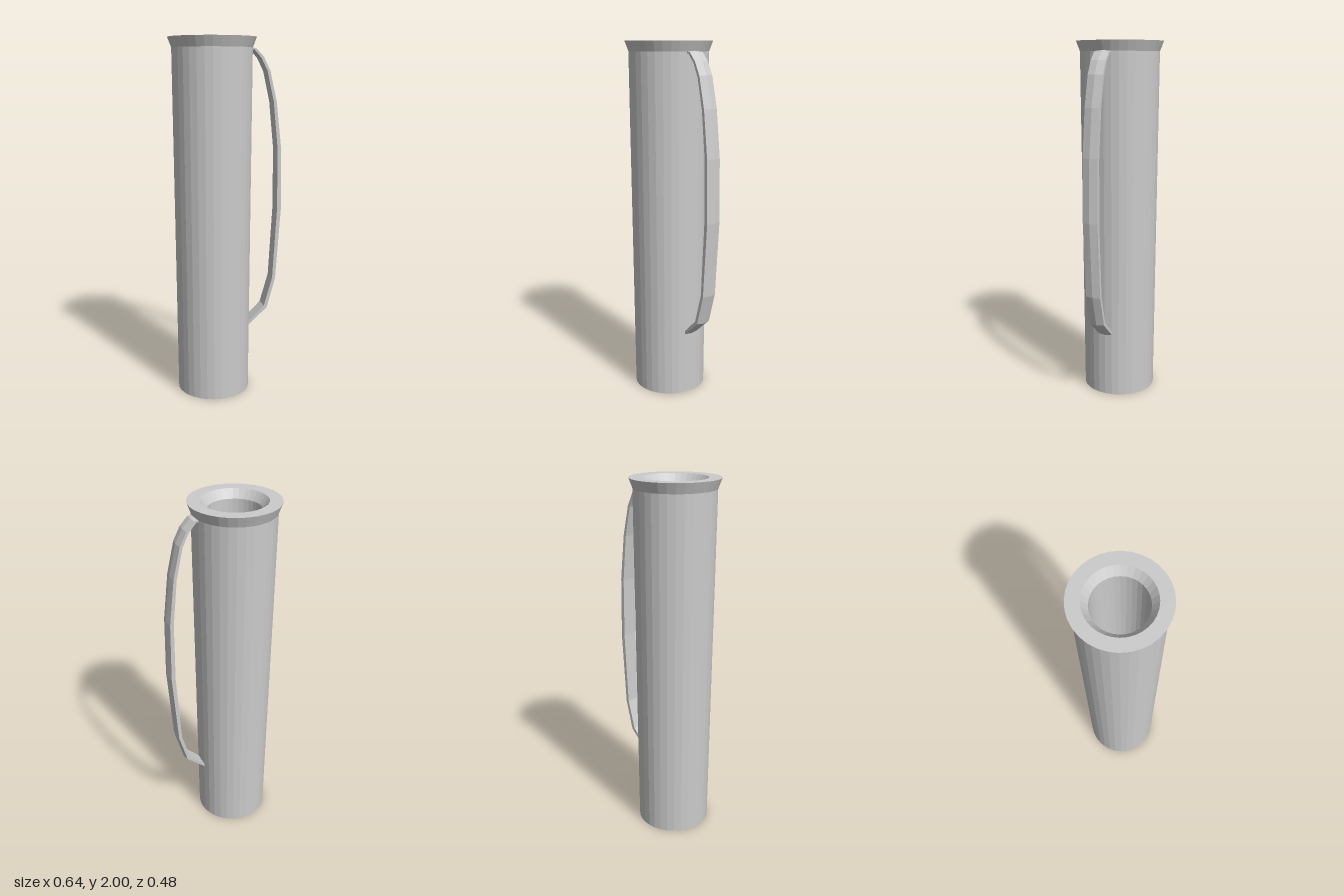
import * as THREE from 'three';

const AXIS_X = -0.08; // the cup stands off-centre, the handle fills the other side

// Five-sided strap swept along inner and outer side profiles, with a ridge down its outer face
function strapGeometry(stations, halfWidth) {
  const positions = [], index = [], n = 5;
  for (const [xi, yi, xo, yo] of stations) {
    const xc = xi + (xo - xi) * 0.7, yc = yi + (yo - yi) * 0.7;
    positions.push(
      xi, yi, -halfWidth, xi, yi, halfWidth,
      xc, yc, halfWidth, xo, yo, 0, xc, yc, -halfWidth);
  }
  for (let i = 0; i < stations.length - 1; i++) {
    for (let j = 0; j < n; j++) {
      const a = i * n + j, b = i * n + (j + 1) % n;
      index.push(a, a + n, b, b, a + n, b + n);
    }
  }
  const last = (stations.length - 1) * n;
  for (let j = 1; j < n - 1; j++) {
    index.push(0, j, j + 1, last, last + j + 1, last + j);
  }
  const geometry = new THREE.BufferGeometry();
  geometry.setAttribute('position', new THREE.Float32BufferAttribute(positions, 3));
  geometry.setIndex(index);
  geometry.computeVertexNormals();
  return geometry;
}

export function createModel() {
  const group = new THREE.Group();
  group.name = 'tallMug';
  const material = new THREE.MeshStandardMaterial({ color: 0xcccccc, flatShading: true });

  // Cup: tapered wall, flared lip, chamfered mouth and deep bore
  const profile = [
    [0, 0], [0.205, 0], [0.219, 1.945], [0.24, 2],
    [0.172, 2], [0.139, 1.955], [0.139, 0.08], [0, 0.08],
  ].map(([r, y]) => new THREE.Vector2(r, y));
  const cup = new THREE.Mesh(new THREE.LatheGeometry(profile, 32), material);
  cup.name = 'cup';
  cup.position.x = AXIS_X;
  group.add(cup);

  // Handle: inner x, y and outer x, y from top to bottom
  const handle = new THREE.Mesh(strapGeometry([
    [0.125, 1.935, 0.135, 1.95],
    [0.145, 1.935, 0.16, 1.945],
    [0.185, 1.89, 0.204, 1.9],
    [0.22, 1.82, 0.241, 1.828],
    [0.257, 1.655, 0.281, 1.66],
    [0.283, 1.4, 0.312, 1.405],
    [0.286, 1.06, 0.319, 1.06],
    [0.262, 0.645, 0.288, 0.64],
    [0.214, 0.478, 0.24, 0.463],
    [0.11, 0.375, 0.125, 0.363],
  ], 0.043), material);
  handle.name = 'handle';
  group.add(handle);

  return group;
}
